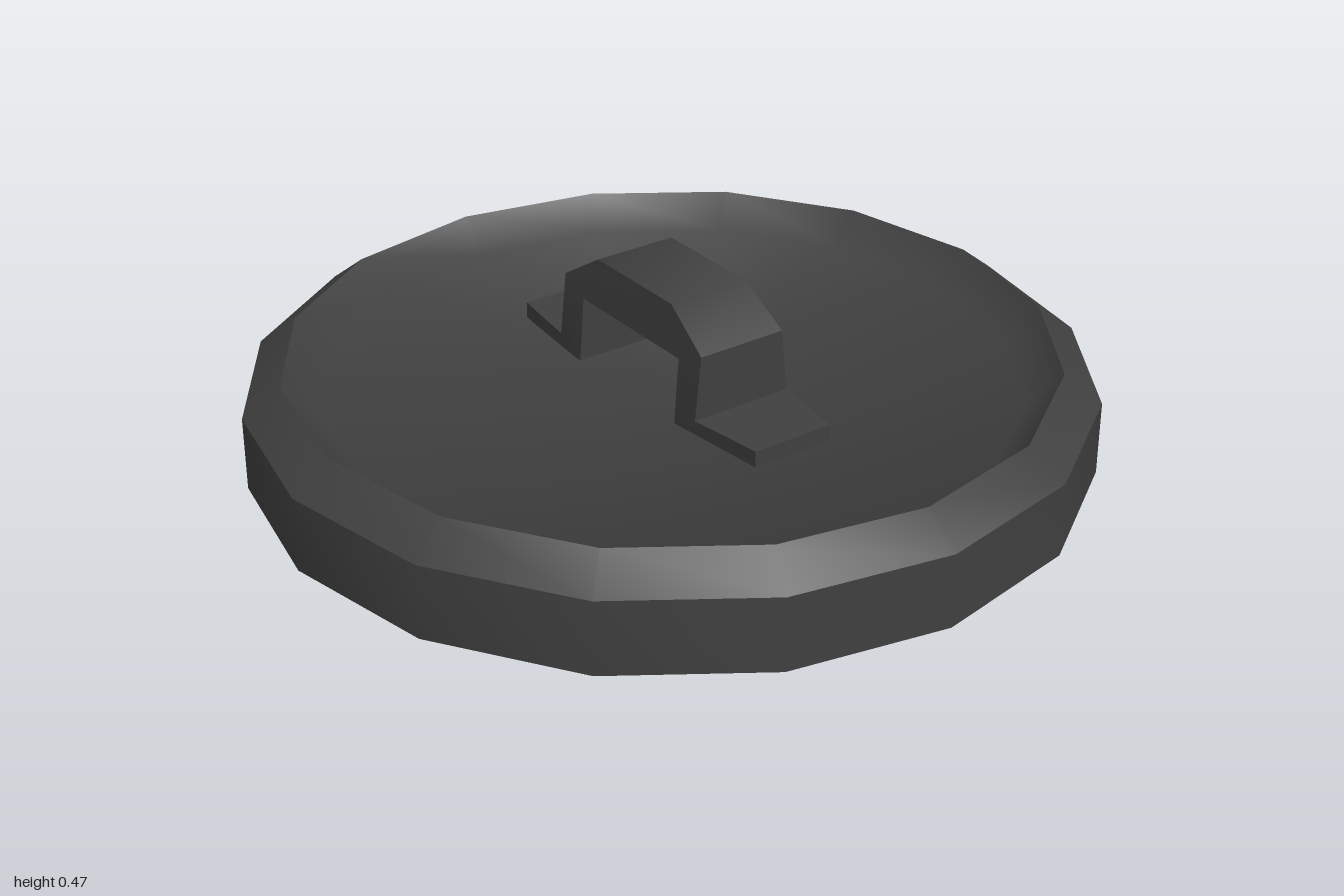
import * as THREE from 'three';
import { toCreasedNormals } from 'three/addons/utils/BufferGeometryUtils.js';

const CREASE = 0.8;

export function createModel() {
  const group = new THREE.Group();
  const material = new THREE.MeshStandardMaterial({ color: 0x404040 });

  const add = (name, geometry) => {
    const mesh = new THREE.Mesh(toCreasedNormals(geometry, CREASE), material);
    mesh.name = name;
    group.add(mesh);
  };

  // Sixteen-sided disc with a bevelled rim, recessed above and below
  const profile = [
    [0, 0.08], [0.825, 0.08], [0.91, 0], [1, 0.02],
    [1, 0.2], [0.91, 0.27], [0.83, 0.19], [0, 0.19],
  ].map(([r, y]) => new THREE.Vector2(r, y));
  add('lidDisc', new THREE.LatheGeometry(profile, 16));

  // Bracket handle: mirrored side outline with flat feet
  const half = [
    [0.19, 0.35], [0.19, 0.18], [0.46, 0.18],
    [0.46, 0.23], [0.27, 0.23], [0.27, 0.385], [0.145, 0.465],
  ];
  const outline = [...half, ...half.map(([x, y]) => [-x, y]).reverse()];
  const shape = new THREE.Shape(outline.map(([x, y]) => new THREE.Vector2(x, y)));
  const handle = new THREE.ExtrudeGeometry(shape, { depth: 1, bevelEnabled: false });

  // Narrow the handle towards its top and towards the tips of its feet
  const pos = handle.attributes.position;
  for (let i = 0; i < pos.count; i++) {
    const rise = THREE.MathUtils.clamp((pos.getY(i) - 0.23) / 0.235, 0, 1);
    const reach = THREE.MathUtils.clamp((Math.abs(pos.getX(i)) - 0.27) / 0.19, 0, 1);
    const width = 0.13 - 0.025 * Math.max(rise, reach);
    pos.setZ(i, pos.getZ(i) > 0.5 ? width : -width);
  }
  add('handle', handle);

  return group;
}
